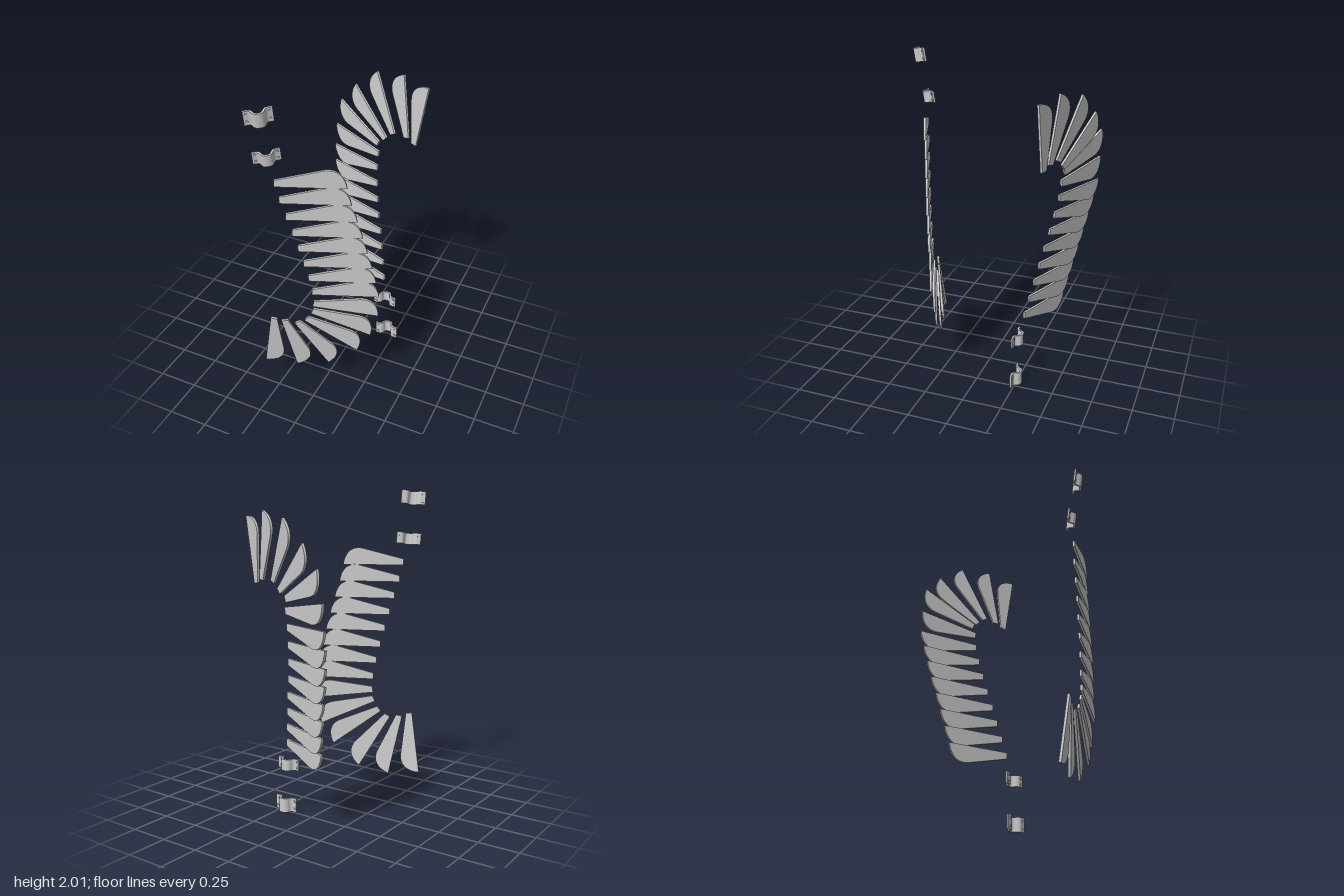
import * as THREE from 'three';

const grey = new THREE.MeshStandardMaterial({ color: 0xcccccc, flatShading: true });
const V = (x, y, z) => new THREE.Vector3(x, y, z);

// One blade: straight edge along +x, broad rounded edge towards +y
function bladeGeometry() {
  const s = new THREE.Shape();
  s.moveTo(0, 0);
  s.lineTo(0.4, 0);
  s.bezierCurveTo(0.388, 0.085, 0.335, 0.122, 0.27, 0.107);
  s.lineTo(0, 0.04);
  s.closePath();
  const g = new THREE.ExtrudeGeometry(s, { depth: 0.015, bevelEnabled: false, curveSegments: 10 });
  return g.translate(0, 0, -0.0075);
}

// Places blades from root to tip, broad side turned within the plane of the given normal
function makeWing(name, blades, normal) {
  const wing = new THREE.Group();
  wing.name = name;
  const geo = bladeGeometry();
  blades.forEach(([sx, sy, sz, tx, ty, tz], i) => {
    const root = V(sx, sy, sz);
    const u = V(tx, ty, tz).sub(root).normalize();
    const w = normal.clone().cross(u).normalize();
    const n = u.clone().cross(w);
    const blade = new THREE.Mesh(geo, grey);
    blade.name = 'blade' + (i + 1);
    blade.quaternion.setFromRotationMatrix(new THREE.Matrix4().makeBasis(u, w, n));
    blade.position.copy(root);
    wing.add(blade);
  });
  return wing;
}

// Curved strap with two flat tabs and four bolt heads; arch bulges to +z
function makeClip(name, height) {
  const clip = new THREE.Group();
  clip.name = name;
  const path = new THREE.SplineCurve([
    [-0.078, 0], [-0.06, 0], [-0.044, 0.002], [-0.033, 0.014], [-0.026, 0.032], [-0.012, 0.042],
    [0.012, 0.042], [0.026, 0.032], [0.033, 0.014], [0.044, 0.002], [0.06, 0], [0.078, 0],
  ].map(([x, y]) => new THREE.Vector2(x, y)));
  const outer = [], inner = [];
  for (let i = 0; i <= 32; i++) {
    const p = path.getPoint(i / 32), t = path.getTangent(i / 32);
    outer.push(new THREE.Vector2(p.x - t.y * 0.006, p.y + t.x * 0.006));
    inner.unshift(new THREE.Vector2(p.x + t.y * 0.006, p.y - t.x * 0.006));
  }
  const geo = new THREE.ExtrudeGeometry(new THREE.Shape([...outer, ...inner]), { depth: height, bevelEnabled: false });
  geo.translate(0, 0, -height / 2).rotateX(Math.PI / 2);
  const strap = new THREE.Mesh(geo, grey);
  strap.name = 'strap';
  clip.add(strap);
  const boltGeo = new THREE.CylinderGeometry(0.008, 0.008, 0.022, 10).rotateX(Math.PI / 2);
  for (const x of [-0.061, 0.061]) for (const y of [-1, 1]) {
    const bolt = new THREE.Mesh(boltGeo, grey);
    bolt.name = 'bolt';
    bolt.position.set(x, y * height * 0.27, 0);
    clip.add(bolt);
  }
  return clip;
}

export function createModel() {
  const model = new THREE.Group();
  model.name = 'bladeWings';

  // Front wing: stacked level blades, then a fan turning downwards
  const front = [-0.2, -0.18, -0.15, -0.122, -0.096, -0.07, -0.048, -0.032].map((x, i) => {
    const y = 1.525 - 0.1085 * i, z = 0.497 - 0.0125 * i;
    return [x, y, z, x + 0.37, y, z - 0.148];
  });
  front.push(
    [-0.03, 0.675, 0.41, 0.335, 0.62, 0.265],
    [-0.045, 0.615, 0.41, 0.29, 0.447, 0.265],
    [-0.085, 0.55, 0.42, 0.217, 0.305, 0.287],
    [-0.148, 0.517, 0.435, 0.027, 0.183, 0.34],
    [-0.227, 0.527, 0.46, -0.163, 0.14, 0.4],
    [-0.285, 0.553, 0.49, -0.355, 0.16, 0.472],
  );
  model.add(makeWing('frontWing', front, V(0.36, 0, 0.93)));

  // Back wing: stacked level blades, then a fan turning upwards
  const back = [0.159, 0.138, 0.116, 0.095, 0.069, 0.048, 0.032, 0.02].map((x, i) => {
    const y = 0.485 + 0.1065 * i, z = -0.28 - 0.023 * i;
    return [x, y, z, x - 0.37, y, z - 0.148];
  });
  back.push(
    [0.025, 1.325, -0.45, -0.34, 1.38, -0.595],
    [0.02, 1.39, -0.46, -0.297, 1.553, -0.597],
    [0.07, 1.43, -0.46, -0.19, 1.68, -0.58],
    [0.13, 1.475, -0.445, -0.032, 1.818, -0.54],
    [0.23, 1.475, -0.425, 0.17, 1.857, -0.465],
    [0.287, 1.445, -0.405, 0.35, 1.833, -0.397],
  );
  model.add(makeWing('backWing', back, V(-0.36, 0, 0.93)));

  // Mounting clips: name, height, position, turn, lean
  for (const [name, h, pos, turn, lean] of [
    ['lowerBackClip', 0.09, [0.203, 0.045, -0.237], Math.PI, 0],
    ['upperBackClip', 0.072, [0.183, 0.312, -0.237], Math.PI, 0],
    ['lowerFrontClip', 0.072, [-0.24, 1.698, 0.487], 0.64, 0.15],
    ['upperFrontClip', 0.085, [-0.24, 1.956, 0.54], 0.64, 0.15],
  ]) {
    const clip = makeClip(name, h);
    clip.position.set(...pos);
    clip.rotation.set(lean, turn, 0);
    model.add(clip);
  }
  return model;
}
